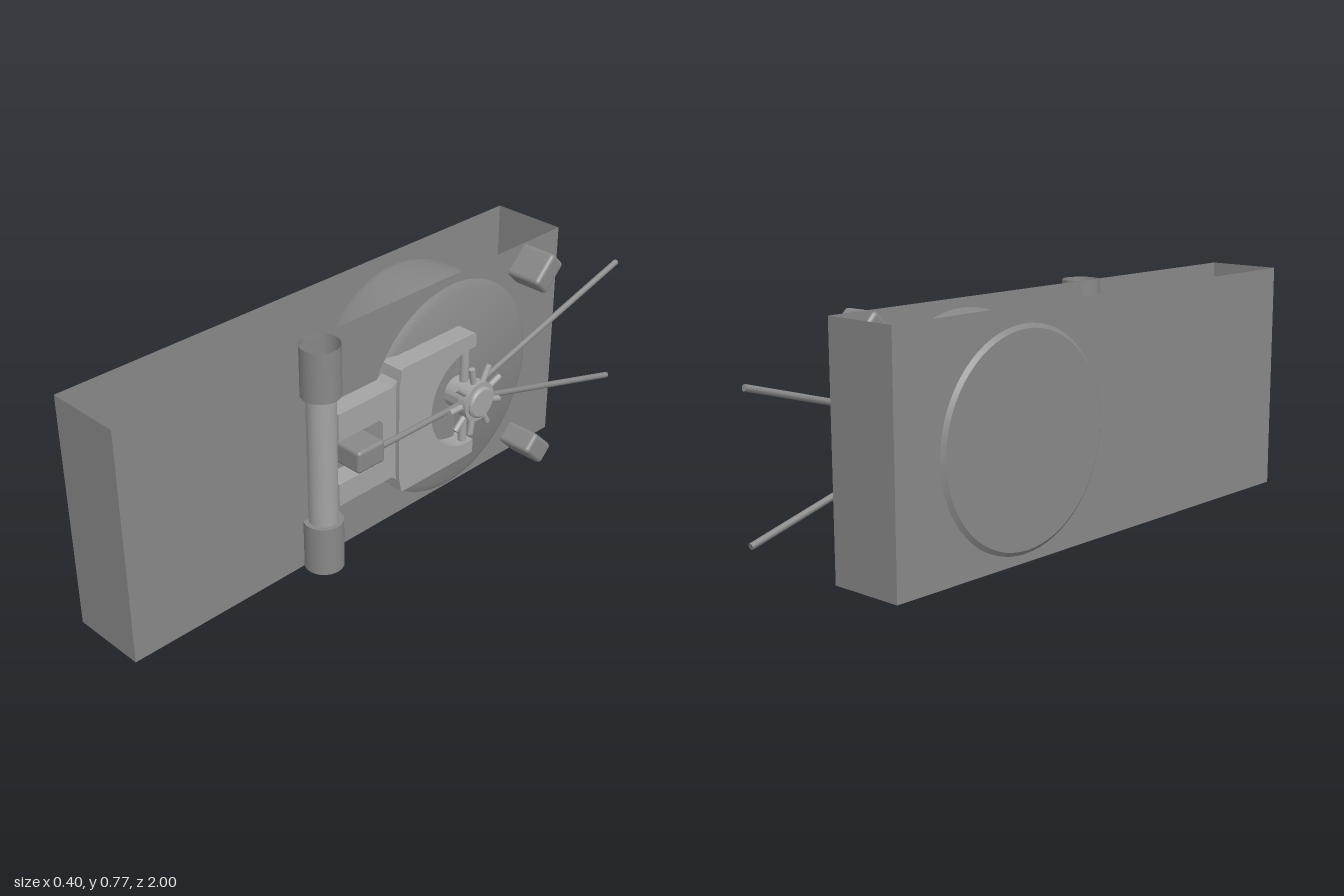
import * as THREE from 'three';
import { toCreasedNormals } from 'three/addons/utils/BufferGeometryUtils.js';
import { RoundedBoxGeometry } from 'three/addons/geometries/RoundedBoxGeometry.js';

const MID_Y = 0.39, AXLE_Z = -0.265;

export function createModel() {
  const group = new THREE.Group();
  const darkGrey = new THREE.MeshStandardMaterial({ color: 0x888888, side: THREE.DoubleSide });
  darkGrey.name = 'dark grey';
  const lightGrey = new THREE.MeshStandardMaterial({ color: 0xa4a4a4 });
  lightGrey.name = 'light grey';

  const add = (name, geometry, material, x = 0, y = 0, z = 0) => {
    const mesh = new THREE.Mesh(geometry, material);
    mesh.name = name;
    mesh.position.set(x, y, z);
    group.add(mesh);
    return mesh;
  };
  // Cylinder between two points
  const rod = (name, a, b, radius, material, sides = 12) => {
    const from = new THREE.Vector3(...a), to = new THREE.Vector3(...b);
    const dir = to.clone().sub(from);
    const mesh = add(name, new THREE.CylinderGeometry(radius, radius, dir.length(), sides), material);
    mesh.position.copy(from).add(to).multiplyScalar(0.5);
    mesh.quaternion.setFromUnitVectors(new THREE.Vector3(0, 1, 0), dir.normalize());
    return mesh;
  };
  // Solid of revolution about the x axis, points are [radius, x]
  const turned = (name, points, material, y, z) => {
    const g = new THREE.LatheGeometry(points.map(p => new THREE.Vector2(...p)), 64);
    g.rotateZ(-Math.PI / 2);
    return add(name, toCreasedNormals(g, 0.5), material, 0, y, z);
  };
  // Side profile in (-z, y), extruded from x0 to x1
  const plate = (name, shape, x0, x1, material) => {
    const g = new THREE.ExtrudeGeometry(shape, { depth: x1 - x0, bevelEnabled: false, curveSegments: 24 });
    g.rotateY(Math.PI / 2);
    return add(name, toCreasedNormals(g, 0.5), material, x0);
  };

  // Thin open casing: four walls, no top or bottom
  const height = 0.755, cy = 0.4025, cz = 0.115, length = 1.77;
  const wall = (name, width, x, z, turn) => {
    add(name, new THREE.PlaneGeometry(width, height), darkGrey, x, cy, z).rotation.y = turn;
  };
  wall('leftWall', length, 0.06, cz, Math.PI / 2);
  wall('rightWall', length, -0.19, cz, -Math.PI / 2);
  wall('frontWall', 0.25, -0.065, 1, 0);
  wall('backWall', 0.25, -0.065, -0.77, Math.PI);

  // Drum
  turned('drum', [[0, -0.2], [0.325, -0.2], [0.345, -0.185], [0.353, -0.16], [0.36, 0.03],
    [0.36, 0.06], [0.332, 0.075], [0, 0.075]], darkGrey, MID_Y, AXLE_Z);

  // Hinge post with open sleeves at both ends
  add('hingePost', new THREE.CylinderGeometry(0.045, 0.045, 0.44, 32), lightGrey, 0.094, cy, 0.315);
  for (const s of [1, -1]) {
    add('hingeSleeve', new THREE.CylinderGeometry(0.061, 0.061, 0.163, 32, 1, true),
      darkGrey, 0.094, cy + s * 0.296, 0.315);
    add('sleeveEnd', new THREE.CircleGeometry(0.061, 32), darkGrey,
      0.094, cy + s * 0.215, 0.315).rotation.x = -Math.PI / 2;
  }

  // Yoke body with a half-round cutout
  const body = new THREE.Shape();
  body.moveTo(-0.045, 0.24);
  body.lineTo(-0.035, 0.18);
  body.lineTo(-0.025, 0.173);
  body.lineTo(0.28, 0.173);
  body.quadraticCurveTo(0.292, 0.173, 0.292, 0.185);
  body.lineTo(0.292, 0.222);
  body.lineTo(0.265, 0.222);
  body.absarc(0.265, MID_Y, 0.168, -Math.PI / 2, Math.PI / 2, true);
  body.lineTo(0.292, 0.558);
  body.lineTo(0.292, 0.595);
  body.quadraticCurveTo(0.292, 0.607, 0.28, 0.607);
  body.lineTo(-0.025, 0.607);
  body.lineTo(-0.035, 0.6);
  body.lineTo(-0.045, 0.54);
  plate('yokeBody', body, 0.065, 0.142, lightGrey);

  // Yoke arms with a notch for the pivot block
  const arms = new THREE.Shape([[-0.28, 0.233], [-0.06, 0.233], [-0.04, 0.215], [-0.04, 0.565],
    [-0.06, 0.548], [-0.28, 0.548], [-0.28, 0.457], [-0.115, 0.457], [-0.1, 0.442],
    [-0.1, 0.323], [-0.115, 0.308], [-0.28, 0.308]].map(p => new THREE.Vector2(...p)));
  plate('yokeArms', arms, 0.062, 0.128, lightGrey);

  // Half-round floor behind the cutout
  add('yokeFloor', new THREE.CircleGeometry(0.168, 32, Math.PI / 2, Math.PI), darkGrey,
    0.085, MID_Y, AXLE_Z).rotation.y = Math.PI / 2;

  // Cross shaft, pivot block and drive rod
  rod('crossShaft', [0.12, 0.2, AXLE_Z], [0.12, 0.58, AXLE_Z], 0.014, lightGrey);
  add('pivotBlock', new RoundedBoxGeometry(0.12, 0.075, 0.11, 3, 0.012), darkGrey, 0.12, 0.388, 0.195);
  rod('driveRod', [0.155, MID_Y, 0.15], [0.155, MID_Y, -0.22], 0.01, darkGrey);

  // Stepped hub
  turned('hub', [[0, 0.085], [0.05, 0.085], [0.05, 0.155], [0.066, 0.155], [0.066, 0.188],
    [0.052, 0.188], [0.052, 0.195], [0.045, 0.201], [0, 0.201]], lightGrey, MID_Y, AXLE_Z);

  // Nine spokes around the hub
  for (let i = 0; i < 9; i++) {
    const a = Math.PI + i * Math.PI * 2 / 9;
    const at = r => [0.17, MID_Y + Math.sin(a) * r, AXLE_Z - Math.cos(a) * r];
    rod('spoke', at(0.04), at(0.118), 0.01, lightGrey);
  }

  // Long rear whips and tilted rear blocks, mirrored about the axle height
  for (const s of [1, -1]) {
    rod('whip', [0.135, MID_Y + s * 0.02, -0.3], [0.135, MID_Y + s * 0.217, -0.997], 0.01, darkGrey);
    const block = add('rearBlock', new RoundedBoxGeometry(0.13, 0.075, 0.115, 3, 0.014),
      darkGrey, 0.115, MID_Y + s * 0.323, -0.59);
    block.rotation.x = s * 0.78;
  }
  return group;
}
